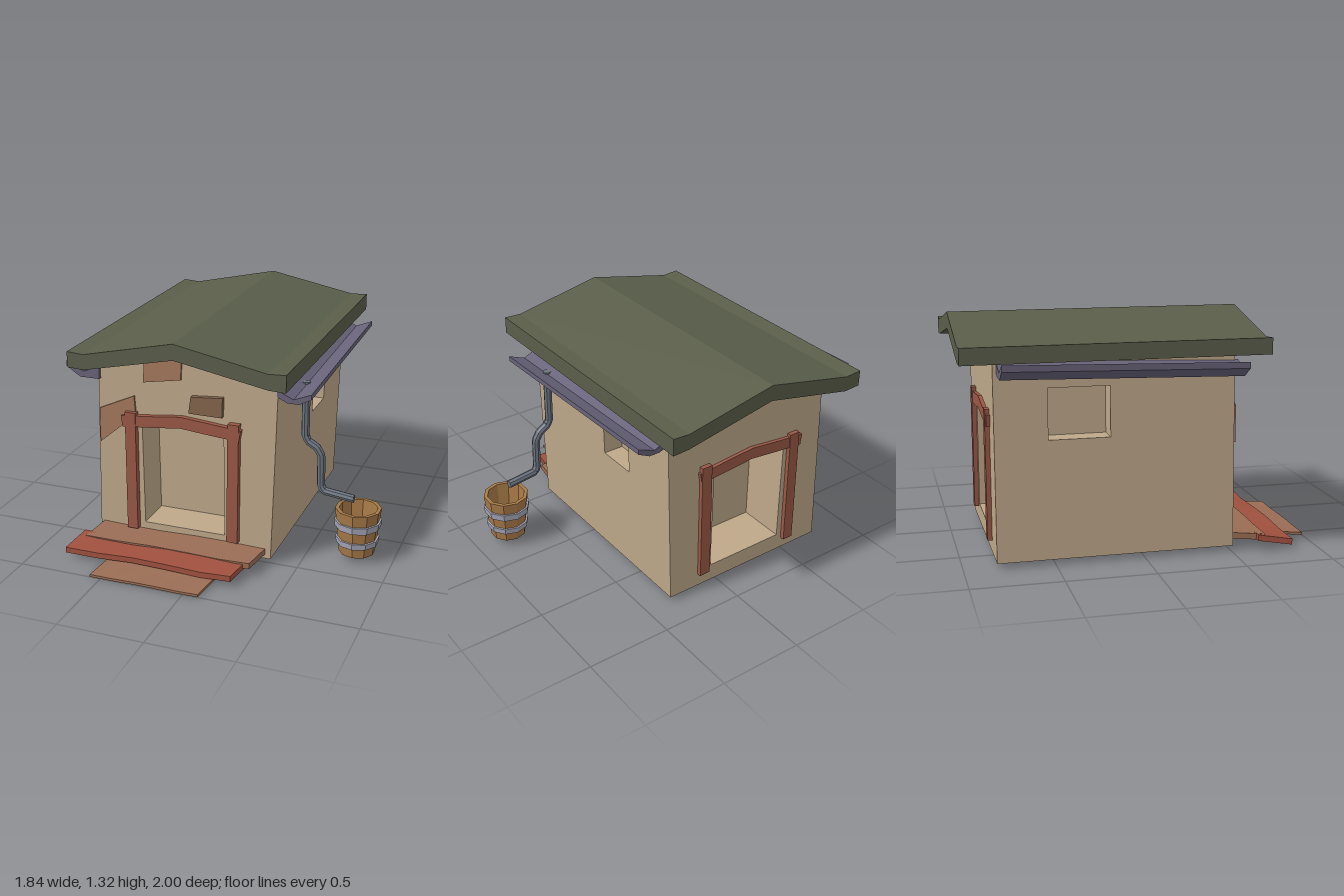
import * as THREE from 'three';
import { mergeGeometries } from 'three/addons/utils/BufferGeometryUtils.js';

const paint = (color, side = THREE.FrontSide) =>
  new THREE.MeshStandardMaterial({ color, flatShading: true, side });
const WALL = paint(0xbea88a), ROOF = paint(0x5a5e4a), GUTTER = paint(0x686379);
const FRAME = paint(0x9a5846), RED = paint(0xa0513f), BROWN = paint(0x9a6d55);
const BRICK = paint(0xa5775c), DARK = paint(0x82654c);
const WOOD = paint(0xa87a48), BAND = paint(0xa6a6b8), PIPE = paint(0x6c7480, THREE.DoubleSide);

const FRONT = 0.51, BACK = -0.82, BASE = 0.03;

function shapeOf(points) {
  return new THREE.Shape(points.map(([x, y]) => new THREE.Vector2(x, y)));
}

function add(parent, name, geometry, material) {
  const mesh = new THREE.Mesh(geometry, material);
  mesh.name = name;
  parent.add(mesh);
  return mesh;
}

// Outline in x/y, pushed from z0 to z1
function slab(points, z0, z1) {
  const geo = new THREE.ExtrudeGeometry(shapeOf(points), { depth: z1 - z0, bevelEnabled: false });
  return geo.translate(0, 0, z0);
}

// Flat wall facing +z with a rectangular niche sunk into it
function nicheWall(outline, [u0, u1, y0, y1], depth) {
  const shape = shapeOf(outline);
  shape.holes.push(new THREE.Path(
    [[u0, y0], [u0, y1], [u1, y1], [u1, y0]].map(([x, y]) => new THREE.Vector2(x, y))));
  const niche = new THREE.BoxGeometry(u1 - u0, y1 - y0, depth);
  // drop the open front side and turn the others inward
  const faces = [...niche.index.array].filter((_, i) => i < 24 || i >= 30).reverse();
  niche.setIndex(faces);
  niche.computeVertexNormals();
  niche.translate((u0 + u1) / 2, (y0 + y1) / 2, -depth / 2);
  return mergeGeometries([new THREE.ShapeGeometry(shape), niche]);
}

function buildHouse(parent) {
  const gable = [[-0.735, BASE], [0.342, BASE], [0.38, 1.14], [-0.16, 1.24], [-0.7, 1.13]];
  const flip = (p) => p.map(([x, y]) => [-x, y]);
  add(parent, 'frontWall', nicheWall(gable, [-0.44, 0.06, 0.135, 0.785], 0.23)
    .translate(0, 0, FRONT), WALL);
  add(parent, 'backWall', nicheWall(flip(gable), [-0.06, 0.44, 0.135, 0.785], 0.28)
    .rotateY(Math.PI).translate(0, 0, BACK), WALL);

  // side walls lean to follow the gable
  const side = (name, s, hole, xLow, xHigh, yTop) => {
    const a = -s * FRONT, b = -s * BACK;
    const geo = nicheWall([[a, BASE], [b, BASE], [b, yTop], [a, yTop]], hole, 0.12);
    geo.rotateY(s * Math.PI / 2);
    const p = geo.attributes.position;
    for (let i = 0; i < p.count; i++) {
      const t = (p.getY(i) - BASE) / (yTop - BASE);
      p.setX(i, p.getX(i) + xLow + (xHigh - xLow) * t);
    }
    geo.computeVertexNormals();
    add(parent, name, geo, WALL);
  };
  side('leftWall', 1, [0.2, 0.445, 0.685, 0.855], 0.342, 0.38, 1.14);
  side('rightWall', -1, [-0.53, -0.19, 0.69, 0.97], -0.735, -0.7, 1.13);

  const floor = new THREE.PlaneGeometry(1.077, FRONT - BACK).rotateX(Math.PI / 2);
  add(parent, 'houseBottom', floor.translate(-0.1965, BASE, (FRONT + BACK) / 2), WALL);

  // roof with flared eaves
  add(parent, 'roof', slab([
    [-0.8, 1.12], [-0.7, 1.115], [-0.16, 1.232], [0.38, 1.13], [0.48, 1.125],
    [0.48, 1.225], [0.38, 1.22], [-0.16, 1.325], [-0.7, 1.205], [-0.8, 1.212]], -1, 0.69), ROOF);

  // exposed stones on the front
  add(parent, 'upperStone', slab([[-0.42, 1.02], [-0.19, 1.06], [-0.18, 1.205], [-0.41, 1.155]],
    FRONT - 0.02, FRONT + 0.012), BRICK);
  add(parent, 'smallStone', slab([[-0.14, 0.875], [0.06, 0.873], [0.065, 0.99], [-0.125, 0.975]],
    FRONT - 0.02, FRONT + 0.028), DARK);
  add(parent, 'cornerStone', slab(
    [[-0.705, 0.62], [-0.55, 0.75], [-0.47, 0.75], [-0.48, 0.93], [-0.7, 0.83]],
    FRONT - 0.02, FRONT + 0.012), BRICK);
}

// Door frame: two posts and a cambered lintel
function buildDoorFrame(name, z0, z1) {
  const frame = new THREE.Group();
  frame.name = name;
  const posts = [
    [[-0.54, 0.1], [-0.475, 0.1], [-0.465, 0.835], [-0.53, 0.835]],
    [[0.085, 0.115], [0.152, 0.112], [0.162, 0.845], [0.097, 0.845]]];
  posts.forEach((p) => add(frame, 'doorPost', slab(p, z0, z1), FRAME));
  add(frame, 'lintel', slab([
    [-0.55, 0.742], [-0.38, 0.757], [-0.19, 0.778], [0, 0.76], [0.16, 0.747],
    [0.172, 0.812], [0, 0.83], [-0.19, 0.847], [-0.38, 0.825], [-0.558, 0.808]],
    z0 + 0.005, z1 - 0.006), FRAME);
  return frame;
}

// Sloping open trough along one eave
function gutter(section, zBack, zFront, rise, drift) {
  const geo = slab(section, zBack, zFront);
  const p = geo.attributes.position;
  for (let i = 0; i < p.count; i++) {
    const t = (zFront - p.getZ(i)) / (zFront - zBack);
    p.setXY(i, p.getX(i) + drift * t, p.getY(i) + rise * t);
  }
  geo.computeVertexNormals();
  return geo;
}

function buildPipe(parent) {
  const points = [[0.46, 1.045], [0.46, 0.72], [0.48, 0.685], [0.53, 0.655], [0.557, 0.61],
    [0.56, 0.42], [0.58, 0.39], [0.757, 0.367]].map(([x, y]) => new THREE.Vector3(x, y, 0.255));
  const path = new THREE.CurvePath();
  points.slice(1).forEach((p, i) => path.add(new THREE.LineCurve3(points[i], p)));
  add(parent, 'downpipe', new THREE.TubeGeometry(path, 60, 0.024, 8), PIPE);
  const top = add(parent, 'pipeTop', new THREE.CircleGeometry(0.024, 8), PIPE);
  top.position.copy(points[0]);
  top.rotation.x = -Math.PI / 2;
  const end = add(parent, 'pipeEnd', new THREE.CircleGeometry(0.024, 8), PIPE);
  end.position.copy(points[7]);
  end.rotation.y = Math.PI / 2;
}

function buildBucket() {
  const bucket = new THREE.Group();
  bucket.name = 'bucket';
  const lathe = (pts) => new THREE.LatheGeometry(pts.map(([r, y]) => new THREE.Vector2(r, y)), 10);
  add(bucket, 'staves', lathe([[0, 0.04], [0.105, 0.04], [0.134, 0.315],
    [0.112, 0.315], [0.092, 0.1], [0, 0.1]]), WOOD);
  for (const [y, h] of [[0.1, 0.036], [0.203, 0.042]]) {
    const r = 0.105 + (y - 0.04) * 0.105;
    add(bucket, 'hoop', lathe([[r - 0.005, y], [r + 0.012, y], [r + 0.016, y + h],
      [r - 0.001, y + h]]), BAND);
  }
  bucket.position.set(0.785, 0, 0.25);
  return bucket;
}

// Worn board: a box with a waved top, uneven ends and a slope toward the front
function board(x0, x1, z0, z1, yBack, yFront, thick, wave) {
  const geo = new THREE.BoxGeometry(x1 - x0, thick, z1 - z0, 5, 1, 1);
  const p = geo.attributes.position;
  for (let i = 0; i < p.count; i++) {
    const t = p.getX(i) / (x1 - x0), f = p.getZ(i) / (z1 - z0) + 0.5;
    p.setY(i, p.getY(i) + yBack + (yFront - yBack) * f + wave * Math.sin(t * 9 + f * 2));
    if (Math.abs(t) > 0.49) p.setX(i, p.getX(i) - Math.sign(t) * 0.03 * (t > 0 ? f : 1 - f));
  }
  geo.computeVertexNormals();
  return geo.translate((x0 + x1) / 2, 0, (z0 + z1) / 2);
}

export function createModel() {
  const model = new THREE.Group();
  model.name = 'hut';
  buildHouse(model);
  model.add(buildDoorFrame('frontDoorFrame', FRONT - 0.01, 0.547));
  model.add(buildDoorFrame('backDoorFrame', -0.846, BACK + 0.01));

  add(model, 'leftGutter', gutter([
    [0.37, 1.03], [0.43, 1.0], [0.495, 1.0], [0.565, 1.035], [0.565, 1.065],
    [0.465, 1.025], [0.37, 1.068]], BACK, FRONT, 0.037, 0), GUTTER);
  add(model, 'rightGutter', gutter([
    [-0.69, 1.01], [-0.69, 1.085], [-0.79, 1.045], [-0.895, 1.1], [-0.895, 1.065],
    [-0.81, 1.01]], -0.8, 0.53, 0.035, -0.024), GUTTER);
  buildPipe(model);
  model.add(buildBucket());

  // loose boards as doorsteps
  add(model, 'upperStep', board(-0.74, 0.31, 0.5, 0.7, 0.078, 0.07, 0.035, 0.004), BROWN);
  add(model, 'middleStep', board(-0.8, 0.25, 0.65, 0.84, 0.068, 0.052, 0.034, 0.007), RED);
  add(model, 'lowerStep', board(-0.565, 0.12, 0.79, 1, 0.022, 0.01, 0.015, 0.002), BROWN);
  return model;
}
